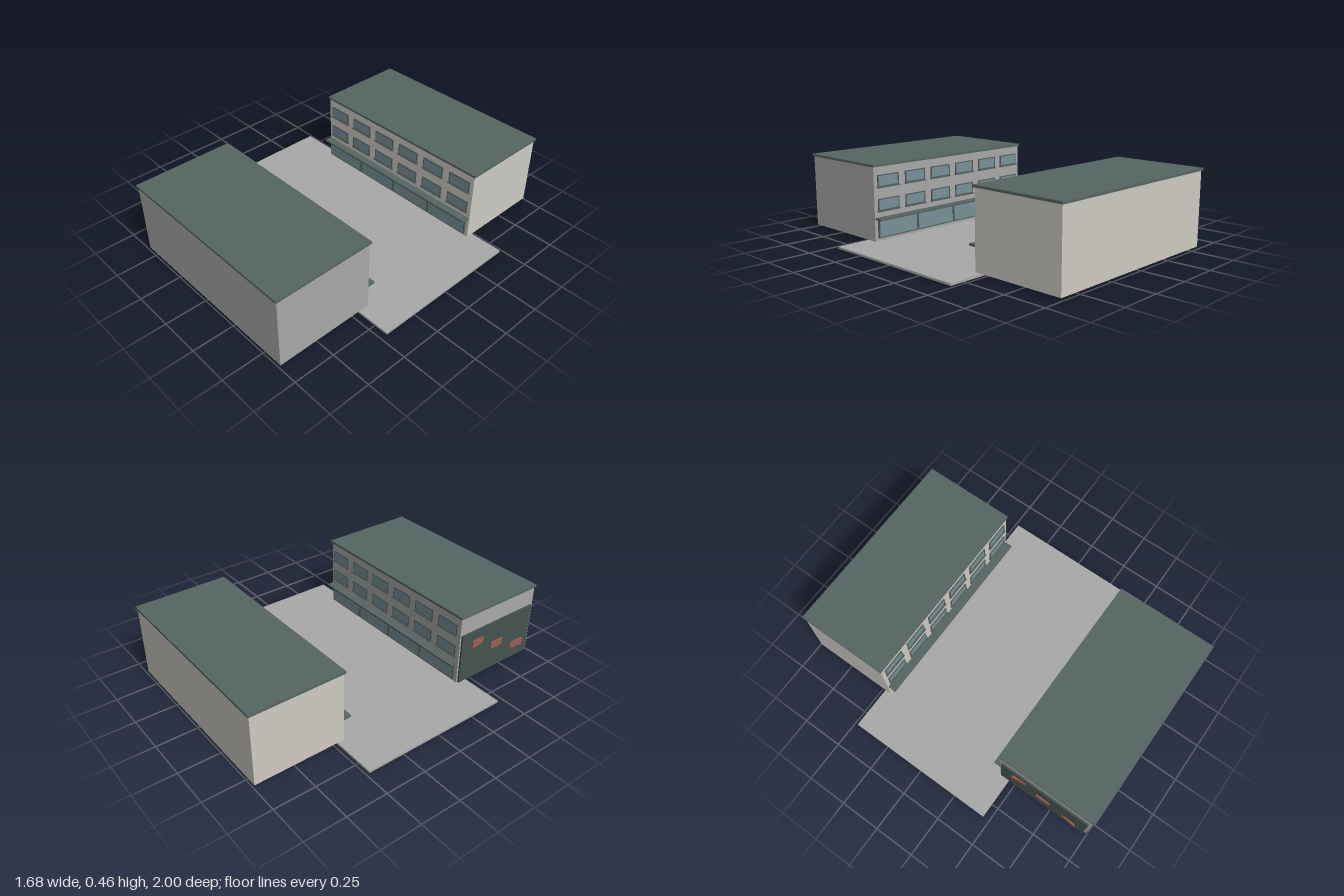
import * as THREE from 'three';

const mat = (color) => new THREE.MeshStandardMaterial({ color });
const paving = mat(0xa9a9a9), greyWall = mat(0xa9a9a9), paleWall = mat(0xcfccc5);
const slate = mat(0x576663), glass = mat(0x78929a), frame = mat(0x56625f);
const darkPanel = mat(0x46524f), brick = mat(0x9a5f52);

// Box given by its extents on each axis
function box(parent, name, material, [x0, x1], [y0, y1], [z0, z1]) {
  const mesh = new THREE.Mesh(new THREE.BoxGeometry(x1 - x0, y1 - y0, z1 - z0), material);
  mesh.position.set((x0 + x1) / 2, (y0 + y1) / 2, (z0 + z1) / 2);
  mesh.name = name;
  parent.add(mesh);
  return mesh;
}

// Rectangular frame around a glass pane, standing on the wall plane z = 0
function framedPane(parent, name, cx, y0, y1, width, bar, depth) {
  const pane = new THREE.Group();
  pane.name = name;
  const l = cx - width / 2, r = cx + width / 2;
  box(pane, 'glass', glass, [l + bar, r - bar], [y0 + bar, y1 - bar], [-0.002, depth * 0.6]);
  box(pane, 'frameBottom', frame, [l, r], [y0, y0 + bar], [-0.002, depth]);
  box(pane, 'frameTop', frame, [l, r], [y1 - bar, y1], [-0.002, depth]);
  box(pane, 'frameSide', frame, [l, l + bar], [y0 + bar, y1 - bar], [-0.002, depth]);
  box(pane, 'frameSide', frame, [r - bar, r], [y0 + bar, y1 - bar], [-0.002, depth]);
  parent.add(pane);
}

// Street side: two rows of windows above a canopied shopfront
function facade() {
  const g = new THREE.Group();
  g.name = 'facade';
  for (const y of [0.19, 0.33])
    for (let i = 0; i < 6; i++) {
      const x = (i - 2.5) * 0.2;
      framedPane(g, 'window', x, y, y + 0.07, 0.15, 0.006, 0.007);
      box(g, 'windowSill', frame, [x - 0.08, x + 0.08], [y - 0.006, y], [-0.002, 0.013]);
    }
  for (let i = 0; i < 4; i++)
    framedPane(g, 'shopWindow', (i - 1.5) * 0.29, 0.03, 0.135, 0.29, 0.006, 0.013);
  box(g, 'canopy', slate, [-0.595, 0.595], [0.14, 0.152], [-0.002, 0.049]);
  return g;
}

// Block with an overhanging flat roof; the facade faces the street
function building(name, wall, depth) {
  const g = new THREE.Group();
  g.name = name;
  box(g, 'walls', wall, [-0.6, 0.6], [0.012, 0.448], [-depth, 0]);
  box(g, 'roof', slate, [-0.608, 0.608], [0.448, 0.462], [-depth - 0.008, 0.008]);
  g.add(facade());
  return g;
}

export function createModel() {
  const model = new THREE.Group();
  model.name = 'streetBlock';
  box(model, 'ground', paving, [-0.838, 0.838], [0, 0.012], [-0.48, 0.458]);

  const back = building('backBuilding', paleWall, 0.557);
  back.position.set(0.03, 0, -0.435);
  model.add(back);

  const front = building('frontBuilding', greyWall, 0.602);
  front.rotation.y = Math.PI;
  front.position.set(0.03, 0, 0.39);
  model.add(front);

  // Dark end wall with three small panels stepping down, the outer two turned
  const end = new THREE.Group();
  end.name = 'endWall';
  box(end, 'endWallPanel', darkPanel, [-0.581, -0.569], [0.012, 0.333], [0.4, 0.975]);
  [[0.525, 0.25, 0.1], [0.69, 0.176, 0], [0.87, 0.103, -0.1]].forEach(([z, y, turn]) => {
    const panel = box(end, 'smallPanel', brick, [-0.588, -0.58], [y - 0.023, y + 0.023], [z - 0.047, z + 0.047]);
    panel.rotation.y = turn;
  });
  model.add(end);
  return model;
}
